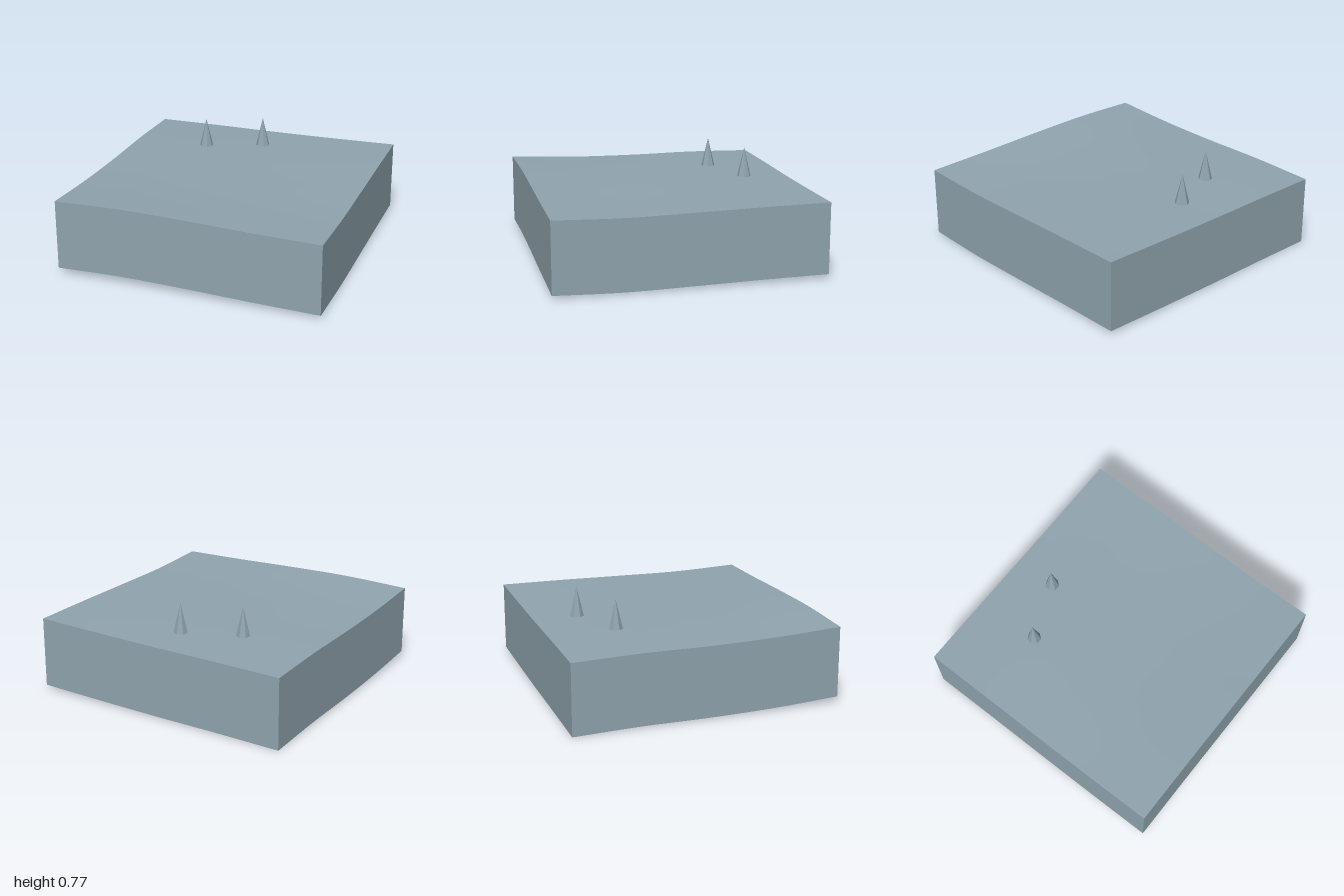
import * as THREE from 'three';

// Heights along each edge of the ground, at -1, -0.5, 0, 0.5, 1
const edge = (heights) => {
  const curve = new THREE.CatmullRomCurve3(
    heights.map((y, i) => new THREE.Vector3(i / 2 - 1, y, 0)));
  return (t) => curve.getPoint(t).y;
};
const front = edge([0.575, 0.588, 0.58, 0.565, 0.555]);
const back = edge([0.53, 0.537, 0.54, 0.548, 0.56]);
const left = edge([0.53, 0.542, 0.54, 0.549, 0.575]); // x = -1, back to front
const right = edge([0.56, 0.555, 0.546, 0.54, 0.555]); // x = +1, back to front

// Blend the four edges into one gently rolling surface
function groundHeight(x, z) {
  const u = (x + 1) / 2, v = (z + 1) / 2, mix = THREE.MathUtils.lerp;
  return mix(back(u), front(u), v) + mix(left(v), right(v), u)
    - mix(mix(0.53, 0.56, u), mix(0.575, 0.555, u), v);
}

export function createModel() {
  const group = new THREE.Group();
  const stone = new THREE.MeshStandardMaterial({ color: 0x90a4ae, side: THREE.DoubleSide });
  stone.name = 'blueGreyStone';
  const add = (name, geometry) => {
    const mesh = new THREE.Mesh(geometry, stone);
    mesh.name = name;
    group.add(mesh);
    return mesh;
  };

  // Rolling top surface
  const top = new THREE.PlaneGeometry(2, 2, 32, 32).rotateX(-Math.PI / 2);
  const p = top.attributes.position;
  for (let i = 0; i < p.count; i++) p.setY(i, groundHeight(p.getX(i), p.getZ(i)));
  top.computeVertexNormals();
  add('groundSurface', top);

  // Side skirts of constant depth, open underneath
  const depth = 0.53;
  ['frontSkirt', 'leftSkirt', 'backSkirt', 'rightSkirt'].forEach((name, k) => {
    const wall = new THREE.PlaneGeometry(2, depth, 32, 1)
      .translate(0, -depth / 2, 1).rotateY(k * Math.PI / 2);
    const w = wall.attributes.position;
    for (let i = 0; i < w.count; i++) {
      w.setY(i, w.getY(i) + groundHeight(w.getX(i), w.getZ(i)));
    }
    wall.computeVertexNormals();
    add(name, wall);
  });

  // Seven-sided faceted spikes
  [[-0.42, -0.5], [0, -0.67]].forEach(([x, z], i) => {
    const cone = new THREE.ConeGeometry(0.055, 0.232, 7).rotateY(Math.PI).toNonIndexed();
    cone.computeVertexNormals();
    add('spike' + (i + 1), cone).position.set(x, 0.656, z);
  });
  return group;
}
